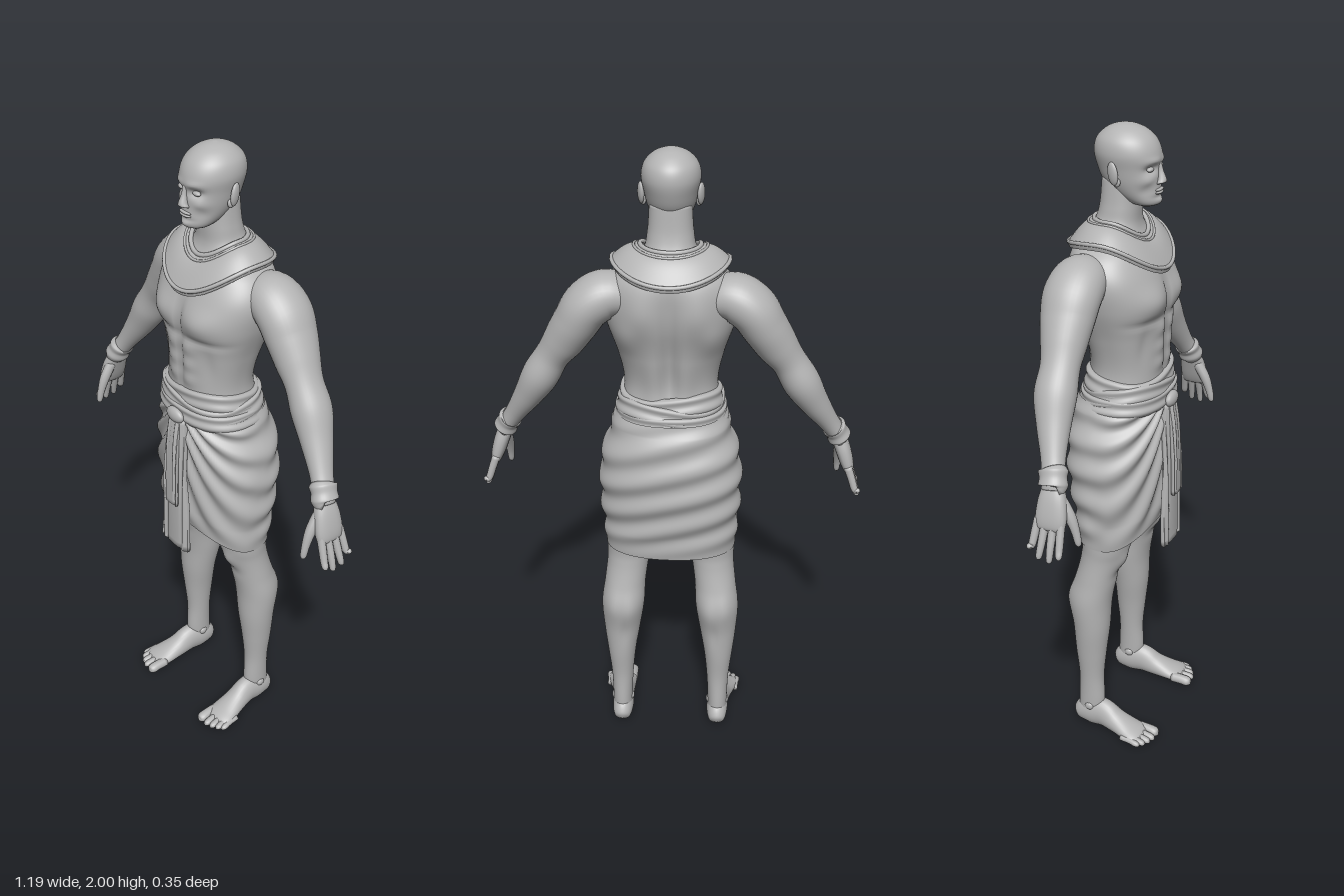
import * as THREE from 'three';

const V = (x, y, z) => new THREE.Vector3(x, y, z);
const clay = new THREE.MeshStandardMaterial({ color: 0xb4b4b4, side: THREE.DoubleSide });
clay.name = 'clay grey';

// Closed-ring surface: at(t, angle) gives a point; ends are optionally capped.
function surface(m, n, at, caps = true) {
  const pos = [], idx = [];
  for (let i = 0; i <= m; i++)
    for (let j = 0; j < n; j++) pos.push(...at(i / m, (j / n) * Math.PI * 2).toArray());
  for (let i = 0; i < m; i++)
    for (let j = 0; j < n; j++) {
      const a = i * n + j, b = i * n + ((j + 1) % n);
      idx.push(a, a + n, b, b, a + n, b + n);
    }
  if (caps) for (const i of [0, m]) {
    const c = V(0, 0, 0), k = pos.length / 3;
    for (let j = 0; j < n; j++) c.add(V(...pos.slice((i * n + j) * 3, (i * n + j) * 3 + 3)));
    pos.push(...c.divideScalar(n).toArray());
    for (let j = 0; j < n; j++) {
      const a = i * n + j, b = i * n + ((j + 1) % n);
      if (i) idx.push(k, b, a); else idx.push(k, a, b);
    }
  }
  const g = new THREE.BufferGeometry();
  g.setAttribute('position', new THREE.Float32BufferAttribute(pos, 3));
  g.setIndex(idx);
  g.computeVertexNormals();
  return g;
}

// Smooth loft through keys [x, y, z, width radius, depth radius].
function loft(keys, { m = 40, n = 32, p = 2, flat = false, ref = V(0, 0, 1), caps = true, mod } = {}) {
  const path = new THREE.CatmullRomCurve3(keys.map(k => V(k[0], k[1], k[2])), false, 'catmullrom');
  const size = new THREE.CatmullRomCurve3(keys.map(k => V(k[3], k[4], 0)), false, 'catmullrom');
  const pow = c => Math.sign(c) * Math.abs(c) ** (2 / p);
  return surface(m, n, (t, th) => {
    const T = flat ? V(0, 1, 0) : path.getTangent(t), r = size.getPoint(t);
    const a = T.clone().cross(ref).normalize(), b = a.clone().cross(T);
    const q = path.getPoint(t).addScaledVector(a, r.x * pow(Math.cos(th))).addScaledVector(b, r.y * pow(Math.sin(th)));
    if (mod) mod(q, th, t);
    return q;
  }, caps);
}

// Profile rows [y, half width, front z, back z] as loft keys.
const rows = list => list.map(([y, w, f, b]) => [0, y, (f + b) / 2, w, (f - b) / 2]);

// Muscle bumps [x, y, side, spread x, spread y, amount], mirrored across x.
const bumps = list => (q, th) => {
  const x = Math.abs(q.x), y = q.y, s = Math.sin(th);
  for (const [bx, by, side, sx, sy, amt] of list)
    if (s * side > 0)
      q.z += side * amt * Math.min(1, Math.abs(s) * 2) * Math.exp(-(((x - bx) / sx) ** 2) - ((y - by) / sy) ** 2);
};

export function createModel() {
  const model = new THREE.Group();
  const add = (name, geo, parent = model) => {
    const mesh = new THREE.Mesh(geo, clay);
    mesh.name = name;
    parent.add(mesh);
    return mesh;
  };
  const ball = (name, x, y, z, sx, sy, sz, parent) => {
    const b = add(name, new THREE.SphereGeometry(1, 20, 14), parent);
    b.position.set(x, y, z);
    b.scale.set(sx, sy, sz);
    return b;
  };

  // Torso and neck
  add('torso', loft(rows([
    [1.08, .16, .11, -.13], [1.2, .152, .118, -.12], [1.3, .142, .115, -.1], [1.4, .16, .118, -.118],
    [1.5, .19, .122, -.145], [1.58, .2, .108, -.152], [1.64, .175, .08, -.15], [1.685, .12, .05, -.13],
    [1.72, .078, .036, -.1], [1.77, .066, .034, -.083], [1.85, .06, .03, -.075],
  ]), { m: 110, n: 88, p: 2.3, flat: true, mod: bumps([
    [.085, 1.515, 1, .07, .05, .022], [0, 1.52, 1, .012, .06, -.008], [.09, 1.455, 1, .08, .012, -.007],
    ...[1.42, 1.365, 1.315].map(y => [.035, y, 1, .026, .024, .008]), [0, 1.37, 1, .007, .1, -.005],
    [.1, 1.38, 1, .02, .06, -.006], [0, 1.42, -1, .022, .2, -.02], [.085, 1.56, -1, .05, .07, .014],
    [.05, 1.33, -1, .03, .1, .01], [.13, 1.47, -1, .04, .06, .012],
  ]) }));

  // Head and face
  const head = new THREE.Group();
  head.name = 'head';
  model.add(head);
  add('skull', loft(rows([
    [1.773, .02, .075, .035], [1.782, .04, .093, .005], [1.805, .056, .097, -.04], [1.84, .069, .095, -.074],
    [1.88, .077, .096, -.092], [1.92, .084, .096, -.101], [1.955, .077, .082, -.094], [1.98, .056, .056, -.071],
    [1.994, .03, .025, -.043], [2, .004, -.004, -.012],
  ]), { m: 70, n: 64, flat: true, mod: bumps([
    [.033, 1.882, 1, .018, .013, -.014], [.03, 1.904, 1, .026, .01, .005], [.048, 1.85, 1, .016, .014, .006],
    [.045, 1.82, 1, .014, .018, -.006], [0, 1.79, 1, .018, .012, .005], [0, 1.803, 1, .025, .006, -.004],
  ]) }), head);
  add('nose', loft([[0, 1.838, .092, .016, .007], [0, 1.843, .099, .018, .014], [0, 1.853, .1, .013, .014],
    [0, 1.875, .095, .008, .01], [0, 1.9, .092, .008, .006]], { m: 16, n: 16, flat: true }), head);
  for (const y of [1.814, 1.822]) ball('lip', 0, y, .094, .024, .005, .008, head);
  for (const s of [-1, 1]) {
    ball('eye', s * .033, 1.882, .079, .015, .007, .009, head);
    ball('ear', s * .084, 1.873, -.012, .009, .033, .018, head).rotation.set(-.15, s * .35, 0);
    ball('earLobe', s * .078, 1.848, -.002, .008, .013, .01, head);
  }

  // Broad collar with rims
  const collarPoint = (s, th) => {
    const c = Math.cos(th), f = Math.sin(th), side = c * c;
    const out = side * 1.688 + (1 - side) * (f > 0 ? 1.597 : 1.652);
    const inn = side * 1.732 + (1 - side) * (f > 0 ? 1.688 : 1.732);
    return V(c * (.172 + (.082 - .172) * s), out + (inn - out) * s + .013 * Math.sin(Math.PI * s),
      -.024 + f * (.152 + (.072 - .152) * s));
  };
  add('collar', surface(14, 64, (t, th) => {
    if (t > 0) return collarPoint((t - 1 / 14) * 14 / 13, th);
    return collarPoint(.06, th).add(V(0, -.02, 0));
  }, false));
  for (const [name, s, r] of [['collarOuterRim', .03, .006], ['collarInnerRim', .95, .007], ['collarBand', .74, .004]]) {
    const pts = Array.from({ length: 32 }, (_, i) => collarPoint(s, i / 32 * Math.PI * 2));
    add(name, new THREE.TubeGeometry(new THREE.CatmullRomCurve3(pts, true), 80, r, 8, true));
  }

  // Draped kilt: fan folds in front, slanting wraps behind
  add('kilt', loft(rows([
    [.718, .208, .112, -.136], [.82, .216, .122, -.15], [.95, .22, .128, -.168],
    [1.05, .213, .13, -.171], [1.14, .187, .13, -.16], [1.2, .165, .127, -.14],
  ]), { m: 110, n: 144, p: 2.3, flat: true, caps: false, mod: (q, th, t) => {
    const f = Math.sin(th), front = THREE.MathUtils.smoothstep(f, -.25, .3);
    const fan = Math.atan2(Math.abs(q.x) + .03, 1.26 - q.y) * 26 + q.y * 14;
    const wrap = Math.sin(62 * (q.y + .28 * q.x + .25 * q.x * q.x));
    const d = (.007 * Math.sin(fan) * front + .006 * wrap * (1 - front)) * Math.min(1, t * 6, (1 - t) * 8);
    q.x += Math.cos(th) * d;
    q.z += f * d;
    q.y += (1 - t) ** 3 * .05 * Math.max(0, f) ** 2;
  } }));

  // Waist sash: level band and two crossing wraps
  const band = (name, y0, y1, grow, tilt) => {
    const w = .157 + grow, zf = .126 + grow * .7, zb = -.122 - grow;
    add(name, loft(rows([[y0, w - .012, zf - .012, zb + .012], [y0 + .004, w + .006, zf, zb - .004],
      [(y0 + y1) / 2, w + .003, zf + .003, zb], [y1 - .004, w - .003, zf, zb + .004], [y1, w - .02, zf - .018, zb + .02]]),
    { m: 28, n: 72, p: 2.3, flat: true, caps: false, mod: (q, th, t) => {
      const d = .0025 * Math.sin(t * 20);
      q.x += Math.cos(th) * d;
      q.z += Math.sin(th) * d;
      q.y += tilt * q.x * Math.sin(th);
    } }));
  };
  band('waistBand', 1.165, 1.222, .012, 0);
  band('sashWrapUpper', 1.215, 1.277, -.003, .13);
  band('sashWrapLower', 1.19, 1.25, .005, -.17);

  // Hanging front panels
  const panel = (name, keys, freq) => add(name, loft(keys, { m: 24, n: 64, p: 5, flat: true,
    mod: q => { q.z += .003 * Math.cos(q.x * freq); } }));
  panel('apronPanel', [[-.002, .695, .148, .067, .009], [0, .85, .145, .06, .01], [0, 1.02, .14, .047, .01], [0, 1.18, .132, .035, .01]], 260);
  panel('sashEnd', [[0, .868, .163, .033, .006], [0, .98, .161, .031, .007], [0, 1.1, .154, .027, .007], [0, 1.18, .142, .026, .007]], 400);
  ball('sashKnot', 0, 1.185, .142, .038, .024, .016);

  for (const s of [-1, 1]) {
    const side = s > 0 ? 'left' : 'right';
    const limb = (name, keys, opt) => add(side + name, loft(keys.map(([x, ...k]) => [x * s, ...k]), opt));

    // Arm
    limb('Arm', [
      [.11, 1.585, -.06, .05, .06], [.18, 1.592, -.065, .07, .08], [.235, 1.56, -.068, .072, .086],
      [.272, 1.505, -.066, .068, .08], [.31, 1.445, -.06, .062, .068], [.348, 1.39, -.054, .052, .058],
      [.388, 1.322, -.05, .056, .062], [.43, 1.25, -.036, .045, .05], [.478, 1.175, -.015, .032, .036],
      [.51, 1.125, 0, .028, .034], [.52, 1.1, .003, .025, .034],
    ], { m: 60, n: 36 });
    // Bracelet
    limb('Bracelet', [[.497, 1.151, -.006, .027, .032], [.499, 1.148, -.005, .037, .043], [.509, 1.131, -.001, .034, .04],
      [.518, 1.112, .003, .037, .043], [.52, 1.109, .003, .027, .032]], { m: 24, n: 32 });
    // Hand
    limb('Palm', [[.513, 1.115, .003, .022, .03], [.53, 1.075, .006, .024, .042], [.545, 1.03, .008, .022, .047],
      [.554, 1, .008, .016, .044], [.556, .99, .008, .006, .035]], { m: 20, n: 24, p: 2.4 });
    [[-.03, -.043, .935], [-.006, -.014, .908], [.018, .018, .903], [.041, .048, .92]].forEach(([z0, z1, y], i) =>
      limb('Finger' + (i + 1), [[.549, 1.02, z0, .013, .012], [.563, .98, (z0 * 2 + z1) / 3, .012, .012],
        [.575, .945, (z0 + z1 * 2) / 3, .011, .011], [.584, y + .008, z1, .009, .009], [.585, y, z1, .003, .003]], { m: 16, n: 12 }));
    limb('Thumb', [[.522, 1.08, .025, .016, .018], [.523, 1.03, .055, .016, .017], [.524, .985, .072, .012, .013],
      [.525, .95, .08, .009, .01], [.525, .94, .081, .003, .003]], { m: 18, n: 12 });

    // Leg
    limb('Leg', [
      [.164, .03, -.068, .032, .04], [.164, .1, -.062, .033, .045], [.163, .2, -.062, .037, .042],
      [.163, .3, -.062, .047, .051], [.16, .4, -.06, .06, .06], [.155, .5, -.063, .07, .068],
      [.148, .58, -.048, .067, .067], [.138, .66, -.03, .068, .069], [.132, .72, -.02, .074, .078],
      [.12, .85, -.02, .085, .1], [.1, 1, -.02, .09, .11],
    ], { m: 80, n: 40, flat: true, mod: bumps([
      [.138, .665, 1, .03, .03, .012], [.14, .61, 1, .03, .02, -.005], [.125, .5, -1, .03, .06, .009],
      [.185, .52, -1, .025, .06, .008], [.15, .4, -1, .012, .05, -.005], [.1, .73, 1, .03, .035, .008],
    ]) });
    for (const dx of [-.03, .03]) ball('ankleBone', s * (.164 + dx), .085, -.06, .009, .014, .015);

    // Foot and toes
    const ground = { m: 36, n: 28, ref: V(0, 1, 0), mod: q => { q.y = Math.max(q.y, 0); } };
    limb('Foot', [
      [.164, .03, -.119, .006, .01], [.164, .035, -.108, .027, .032], [.164, .048, -.07, .036, .052],
      [.166, .052, -.02, .036, .053], [.171, .036, .03, .04, .039], [.178, .024, .08, .048, .027],
      [.183, .018, .115, .051, .019], [.185, .014, .135, .04, .01],
    ], ground);
    [[.146, .148, .174, .017], [.174, .178, .173, .0115], [.194, .199, .165, .011], [.211, .217, .154, .0105], [.224, .23, .14, .01]]
      .forEach(([x0, x1, z, r], i) => limb('Toe' + (i + 1), [[x0, .018, z - .07, r, r], [(x0 + x1) / 2, .017, z - .035, r, r],
        [x1, .014, z - .014, r * 1.05, r * .95], [x1, .012, z - .003, r * .7, r * .65], [x1, .012, z, r * .2, r * .2]],
      { ...ground, m: 16, n: 14 }));
  }
  return model;
}
